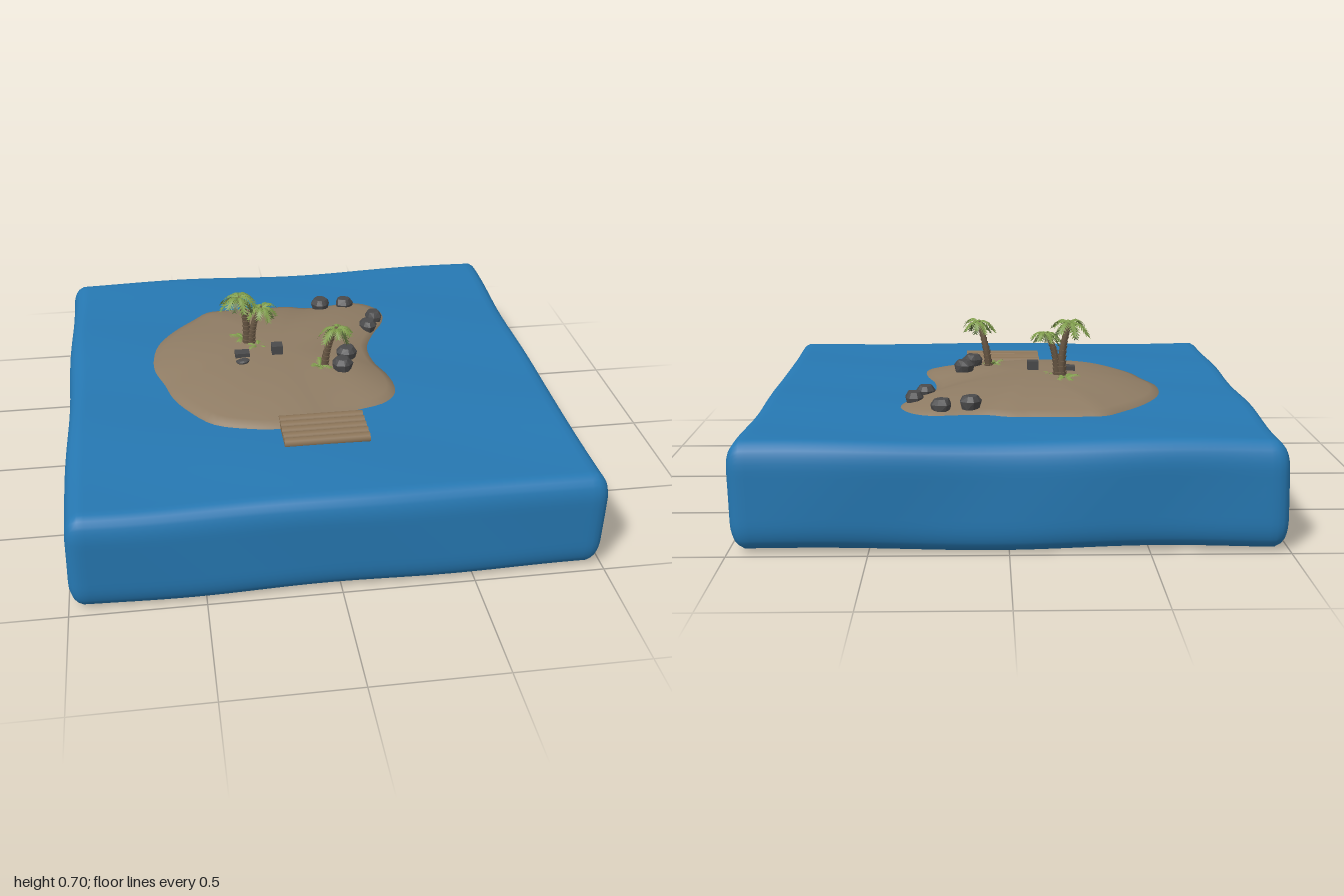
import * as THREE from 'three';
import { mergeVertices, mergeGeometries } from 'three/addons/utils/BufferGeometryUtils.js';
import { ConvexGeometry } from 'three/addons/geometries/ConvexGeometry.js';

const mat = (name, color, side = THREE.FrontSide) => {
  const m = new THREE.MeshStandardMaterial({ color, side });
  m.name = name;
  return m;
};
const V = (x, y, z) => new THREE.Vector3(x, y, z);

// small seeded random numbers
let seed = 7;
const rnd = () => (seed = (seed * 16807) % 2147483647) / 2147483647;

// weld and smooth a geometry
function smooth(g) {
  g.deleteAttribute('uv');
  g.deleteAttribute('normal');
  const m = mergeVertices(g, 1e-5);
  m.computeVertexNormals();
  return m;
}

// block of sea with rounded edges and gentle waves
function waterGeometry() {
  const g = new THREE.BoxGeometry(2, 0.4, 2, 80, 16, 80);
  const half = V(0.993, 0.197, 0.993), r = V(0.055, 0.1, 0.055), p = V(), c = V(), d = V();
  const pos = g.attributes.position;
  for (let i = 0; i < pos.count; i++) {
    p.fromBufferAttribute(pos, i).multiply(V(0.993, 0.985, 0.993));
    c.copy(p).clamp(half.clone().sub(r).negate(), half.clone().sub(r));
    d.copy(p).sub(c).divide(r);
    if (d.lengthSq() > 1) d.normalize();
    p.copy(c).add(d.multiply(r));
    const { x, y, z } = p;
    const wave = 0.004 * Math.sin(5 * x + 2.3 * z) + 0.003 * Math.sin(9 * z - 4 * x + 1);
    pos.setXYZ(i, x + 0.004 * Math.sin(7 * z + 6 * y) * Math.abs(x), y + 0.212 + wave,
      z + 0.004 * Math.sin(7 * x + 6 * y) * Math.abs(z));
  }
  return smooth(g);
}

// island shoreline as x, z pairs
const SHORE = [[-0.38, -0.58], [-0.3, -0.59], [-0.1, -0.59], [0, -0.588], [0.08, -0.562], [0.18, -0.57],
  [0.3, -0.588], [0.38, -0.55], [0.425, -0.46], [0.41, -0.37], [0.35, -0.27], [0.3, -0.16], [0.293, -0.08],
  [0.305, 0.02], [0.335, 0.11], [0.35, 0.22], [0.33, 0.3], [0.27, 0.355], [0.17, 0.385], [0.05, 0.42],
  [-0.05, 0.47], [-0.17, 0.485], [-0.3, 0.46], [-0.42, 0.41], [-0.5, 0.31], [-0.57, 0.18], [-0.6, 0.07],
  [-0.64, -0.05], [-0.645, -0.15], [-0.62, -0.28], [-0.55, -0.4], [-0.45, -0.51]];
const CX = -0.12, CZ = -0.08;

// sand mound: shoreline rings shrinking towards the middle
function islandGeometry() {
  const curve = new THREE.CatmullRomCurve3(SHORE.map(([x, z]) => V(x, 0, z)), true);
  const n = 96, rings = 16, pos = [CX, 0.478, CZ], idx = [];
  for (let k = 1; k <= rings; k++) {
    const t = (k / rings) * 1.04;
    for (let i = 0; i < n; i++) {
      const p = curve.getPoint(i / n);
      const y = t > 1 ? 0.385 : 0.411 + 0.067 * (1 - Math.pow(t, 2.6));
      pos.push(CX + (p.x - CX) * Math.min(t, 1.01), y, CZ + (p.z - CZ) * Math.min(t, 1.01));
      const j = (i + 1) % n, b = 1 + (k - 1) * n, a = b - n;
      if (k === 1) idx.push(0, b + j, b + i);
      else idx.push(a + i, a + j, b + i, a + j, b + j, b + i);
    }
  }
  const g = new THREE.BufferGeometry();
  g.setAttribute('position', new THREE.Float32BufferAttribute(pos, 3));
  g.setIndex(idx);
  g.computeVertexNormals();
  return g;
}

// feathered leaf reaching along +x, arching up and then drooping
function frondGeometry(len, rise, droop) {
  const n = 9, pos = [];
  const rib = s => V(len * s * (1 - 0.15 * s), len * (rise * s - droop * s * s), 0);
  for (let i = 0; i < n; i++) {
    const s = i / n, w = len * 0.3 * Math.sin(Math.PI * (0.15 + 0.75 * s));
    const a = rib(s), b = rib(Math.min(1, s + 1.3 / n));
    for (const side of [-1, 1]) {
      const tip = b.clone().add(V(len * 0.1, -w * 0.45, side * w));
      const tri = side > 0 ? [a, tip, b] : [a, b, tip];
      tri.forEach(v => pos.push(v.x, v.y, v.z));
    }
  }
  const g = new THREE.BufferGeometry();
  g.setAttribute('position', new THREE.Float32BufferAttribute(pos, 3));
  g.computeVertexNormals();
  return g;
}

// ring of fronds; every frond is turned and slightly varied
function crownGeometry(count, len, rise, droop, turn) {
  const parts = [];
  for (let i = 0; i < count; i++) {
    const g = frondGeometry(len * (0.85 + 0.3 * rnd()), rise + 0.35 * rnd(), droop + 0.3 * rnd());
    parts.push(g.rotateY(turn + (i / count) * Math.PI * 2 + 0.3 * rnd()));
  }
  return mergeGeometries(parts);
}

// trunk of stacked flared rings along a bent path
function trunkGeometry(base, mid, top, r) {
  const curve = new THREE.QuadraticBezierCurve3(base, mid, top), n = 11, parts = [];
  for (let i = 0; i < n; i++) {
    const a = curve.getPoint(i / n), b = curve.getPoint((i + 1) / n), d = b.clone().sub(a);
    const w = r * (1.2 - 0.5 * (i / n));
    const g = new THREE.CylinderGeometry(w * 1.12, w * 0.85, d.length() * 1.1, 8);
    g.applyQuaternion(new THREE.Quaternion().setFromUnitVectors(V(0, 1, 0), d.normalize()));
    parts.push(g.translate((a.x + b.x) / 2, (a.y + b.y) / 2, (a.z + b.z) / 2));
  }
  return mergeGeometries(parts);
}

// rough faceted boulder
function rockGeometry(w, h, d) {
  const pts = [];
  for (let i = 0; i < 9; i++) {
    const a = (i / 9) * Math.PI * 2 + 0.3 * rnd();
    for (const [y, s] of [[-0.5, 0.82], [0.1, 1], [0.5, 0.66]]) {
      const k = s * (0.88 + 0.2 * rnd()) * 0.5;
      pts.push(V(Math.cos(a) * k * w, y * h * (0.9 + 0.15 * rnd()), Math.sin(a) * k * d));
    }
  }
  return new ConvexGeometry(pts);
}

export function createModel() {
  const model = new THREE.Group();
  const water = mat('water blue', 0x2678b2), sand = mat('sand', 0x8f7c64);
  const bark = mat('bark brown', 0x6e5c48), plank = mat('log brown', 0x8a7357);
  const stone = mat('stone grey', 0x4a4a4b);
  const leaf = mat('leaf green', 0x7f9c4c, THREE.DoubleSide);
  const darkLeaf = mat('dark leaf green', 0x536436, THREE.DoubleSide);
  const add = (name, geometry, material, x = 0, y = 0, z = 0, parent = model) => {
    const m = new THREE.Mesh(geometry, material);
    m.name = name;
    m.position.set(x, y, z);
    parent.add(m);
    return m;
  };

  add('sea', waterGeometry(), water);
  add('island', islandGeometry(), sand);

  // palms: base, bend, top, trunk radius, frond length
  const palms = [
    [V(-0.235, 0.465, -0.14), V(-0.225, 0.6, -0.14), V(-0.265, 0.69, -0.135), 0.015, 0.085],
    [V(-0.215, 0.465, -0.13), V(-0.215, 0.58, -0.13), V(-0.168, 0.645, -0.12), 0.014, 0.068],
    [V(0.065, 0.455, 0.095), V(0.075, 0.57, 0.09), V(0.11, 0.652, 0.13), 0.014, 0.078],
  ];
  palms.forEach(([base, mid, top, r, len], i) => {
    const palm = new THREE.Group();
    palm.name = 'palm' + (i + 1);
    model.add(palm);
    add('trunk', trunkGeometry(base, mid, top, r), bark, 0, 0, 0, palm);
    add('fronds', crownGeometry(8, len, 0.5, 0.95, i), leaf, top.x, top.y, top.z, palm);
    add('innerFronds', crownGeometry(5, len * 0.8, 0.35, 0.95, i + 0.5), darkLeaf, top.x, top.y - 0.004, top.z, palm);
  });

  // low plants at the foot of the palms
  [[-0.245, -0.19, 0.06], [-0.19, -0.1, 0.05], [0.045, 0.11, 0.05]].forEach(([x, z, len]) =>
    add('groundPlant', crownGeometry(6, len, 0.5, 0.45, x * 9), leaf, x, 0.472, z));

  // boulders: x, y, z, width, height, depth
  [[0.14, 0.452, -0.515, 0.085, 0.05, 0.09], [0.25, 0.44, -0.525, 0.085, 0.055, 0.075],
    [0.36, 0.437, -0.385, 0.08, 0.055, 0.085], [0.32, 0.444, -0.29, 0.08, 0.05, 0.085],
    [0.17, 0.484, 0.02, 0.09, 0.05, 0.085], [0.135, 0.488, 0.125, 0.085, 0.05, 0.085]]
    .forEach(([x, y, z, w, h, d]) => add('boulder', rockGeometry(w, h, d), stone, x, y, z));

  // stone blocks and a fallen slab
  add('stoneBlock', new THREE.BoxGeometry(0.046, 0.05, 0.046), stone, -0.118, 0.49, -0.028);
  add('lowBlock', new THREE.BoxGeometry(0.06, 0.03, 0.042), stone, -0.265, 0.477, -0.025);
  const slab = add('fallenSlab', rockGeometry(0.06, 0.014, 0.045), stone, -0.268, 0.478, 0.033);
  slab.rotation.z = 0.15;

  // log raft at the shore
  for (let i = 0; i < 5; i++) {
    const log = add('raftLog', new THREE.CylinderGeometry(0.0205, 0.0205, 0.33, 16), plank, 0, 0.419, 0.431 + i * 0.041);
    log.rotation.z = Math.PI / 2;
  }
  return model;
}
